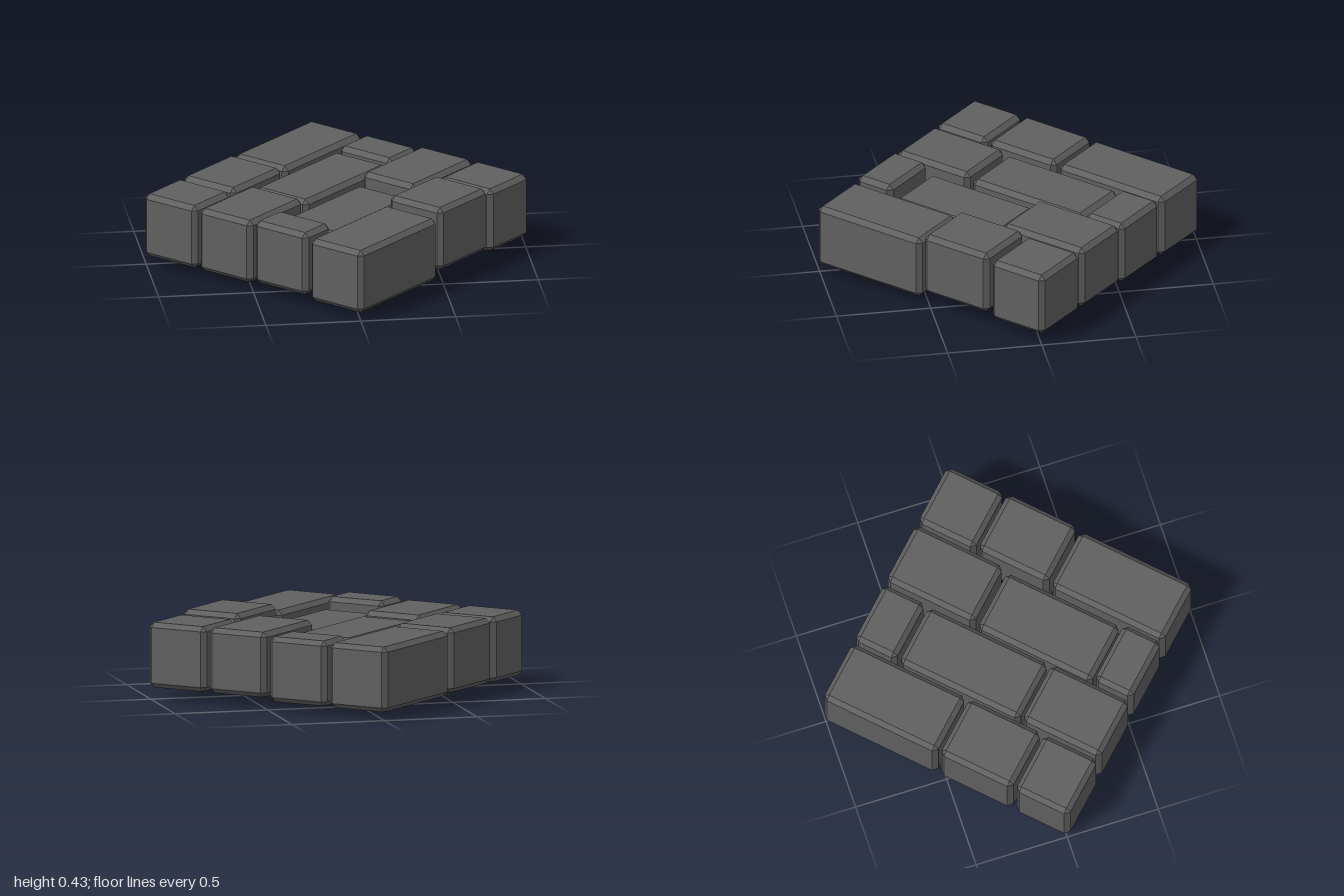
import * as THREE from 'three';
import { ConvexGeometry } from 'three/addons/geometries/ConvexGeometry.js';

const HALF = 0.72;      // half side of the square patch
const GAP = 0.02;       // joint between bricks
const WIDTH = 0.345;    // brick width
const HEIGHT = 0.345;   // brick height
const CHAMFER = 0.025;

// Box with every edge and corner cut by a flat chamfer
function chamferedBox(w, h, d, c) {
  const points = [];
  for (const sx of [-1, 1]) for (const sy of [-1, 1]) for (const sz of [-1, 1]) {
    const x = w / 2, y = h / 2, z = d / 2;
    points.push(
      new THREE.Vector3(sx * x, sy * (y - c), sz * (z - c)),
      new THREE.Vector3(sx * (x - c), sy * y, sz * (z - c)),
      new THREE.Vector3(sx * (x - c), sy * (y - c), sz * z)
    );
  }
  return new ConvexGeometry(points);
}

export function createModel() {
  const model = new THREE.Group();
  model.name = 'brickPaving';
  const stone = new THREE.MeshStandardMaterial({ color: 0x606060, flatShading: true });
  stone.name = 'dark grey stone';

  // Each row: joint positions along the row, and the underside height of each brick
  const rows = [
    { joints: [-0.397, 0.044], base: [0.047, 0.05, 0.042] },
    { joints: [-0.253, 0.469], base: [0.047, 0.025, 0.045] },
    { joints: [-0.49, 0.195], base: [0.06, 0, 0.062] },
    { joints: [-0.05, 0.378], base: [0.042, 0.083, 0.062] },
  ];

  // Patch of staggered bricks, turned to stand on its corner
  const patch = new THREE.Group();
  patch.name = 'brickPatch';
  patch.rotation.y = Math.PI / 4;
  model.add(patch);

  rows.forEach(({ joints, base }, r) => {
    const ends = [-HALF - GAP / 2, ...joints, HALF + GAP / 2];
    base.forEach((y, i) => {
      const length = ends[i + 1] - ends[i] - GAP;
      const brick = new THREE.Mesh(chamferedBox(length, HEIGHT, WIDTH, CHAMFER), stone);
      brick.name = `brickRow${r + 1}Number${i + 1}`;
      brick.position.set(
        (ends[i] + ends[i + 1]) / 2,
        y + HEIGHT / 2,
        -HALF + WIDTH / 2 + r * (WIDTH + GAP)
      );
      patch.add(brick);
    });
  });
  return model;
}
